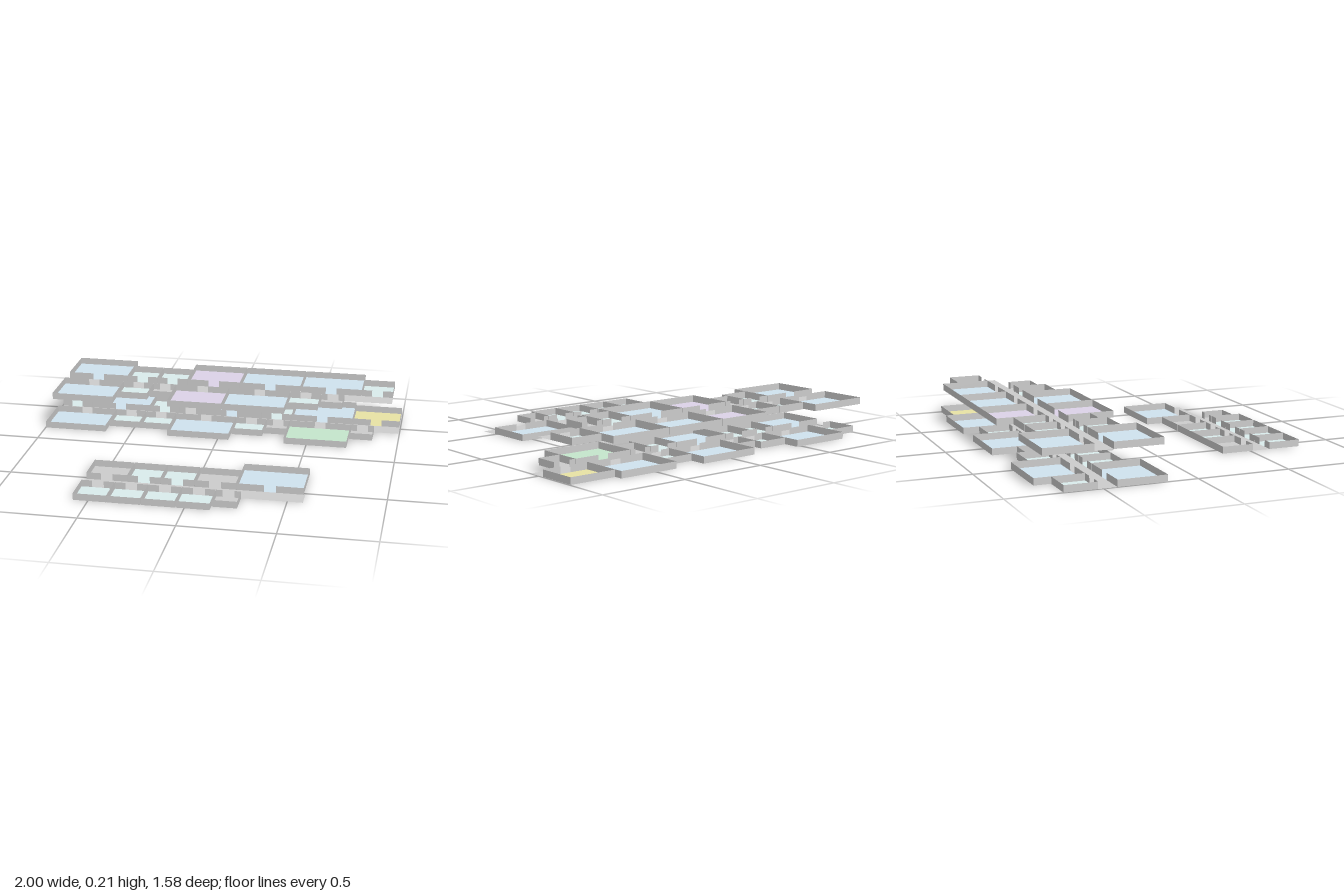
import * as THREE from 'three';

const WALL = 0.037, DOOR = 0.062, GAP = 0.0015, HALL = 0.1;

const mat = (color) => new THREE.MeshStandardMaterial({ color, side: THREE.DoubleSide });
const grey = mat(0xcccccc);

// Room types: width along the corridor, depth away from it, floor material
const blue = mat(0xcfe2ee), teal = mat(0xdaecec);
const TYPES = {
  classroom: [0.353, 0.265, blue],
  office: [0.178, 0.175, teal],
  lounge: [0.31, 0.265, mat(0xdcd2e8)],
  closet: [0.132, 0.13, grey],
  store: [0.222, 0.175, grey],
  hallRoom: [0.353, 0.265, mat(0xc4e6cc)],
  entryRoom: [0.27, 0.22, mat(0xe8e2a4)],
};

function floor(name, x0, x1, z0, z1, y, material) {
  const mesh = new THREE.Mesh(new THREE.PlaneGeometry(x1 - x0, z1 - z0).rotateX(-Math.PI / 2), material);
  mesh.position.set((x0 + x1) / 2, y, (z0 + z1) / 2);
  mesh.name = name;
  return mesh;
}

// Thin upright wall between two plan points
function wall(xa, za, xb, zb, y) {
  const geo = new THREE.PlaneGeometry(Math.hypot(xb - xa, zb - za), WALL);
  const mesh = new THREE.Mesh(geo, grey);
  mesh.rotation.y = -Math.atan2(zb - za, xb - xa);
  mesh.position.set((xa + xb) / 2, y + WALL / 2, (za + zb) / 2);
  mesh.name = 'wall';
  return mesh;
}

// Floor plus walls, with a doorway in the middle of the corridor side
function room(type, x, zDoor, dir, y) {
  const [w, d, material] = TYPES[type];
  const g = new THREE.Group();
  g.name = type;
  const x0 = x + GAP, x1 = x + w - GAP, c = x + w / 2;
  const zBack = zDoor + dir * d;
  g.add(floor('roomFloor', x0, x1, Math.min(zDoor, zBack), Math.max(zDoor, zBack), y, material));
  g.add(
    wall(x0, zDoor, x0, zBack, y),
    wall(x0, zBack, x1, zBack, y),
    wall(x1, zBack, x1, zDoor, y),
    wall(x0, zDoor, c - DOOR / 2, zDoor, y),
    wall(c + DOOR / 2, zDoor, x1, zDoor, y),
  );
  return g;
}

// A corridor with a row of rooms on each side
function storey({ name, y, z, hall, start, back, front }) {
  const g = new THREE.Group();
  g.name = name;
  g.add(floor('corridorFloor', hall[0], hall[1], z - HALL / 2, z + HALL / 2, y, grey));
  for (const [row, dir] of [[back, -1], [front, 1]]) {
    let x = start;
    for (const type of row) {
      g.add(room(type, x, z + dir * HALL / 2, dir, y));
      x += TYPES[type][0];
    }
  }
  return g;
}

export function createModel() {
  const model = new THREE.Group();
  model.name = 'floorPlan';
  // Main block, ground storey
  model.add(storey({
    name: 'groundStorey', y: 0, z: -0.477, hall: [-1, 0.995], start: -1,
    back: ['office', 'classroom', 'office', 'closet', 'classroom', 'office', 'classroom', 'entryRoom'],
    front: ['classroom', 'office', 'office', 'classroom', 'office', 'closet', 'hallRoom', 'closet'],
  }));
  // Main block, upper storey
  model.add(storey({
    name: 'upperStorey', y: 0.177, z: -0.477, hall: [-0.953, 0.95], start: -0.953,
    back: ['classroom', 'office', 'office', 'lounge', 'classroom', 'classroom', 'office'],
    front: ['classroom', 'office', 'closet', 'lounge', 'classroom', 'office', 'closet'],
  }));
  // Separate front wing
  model.add(storey({
    name: 'frontWing', y: 0, z: 0.565, hall: [-0.577, 0.58], start: -0.58,
    back: ['store', 'office', 'office', 'store', 'classroom'],
    front: ['office', 'office', 'office', 'office', 'closet'],
  }));
  return model;
}
